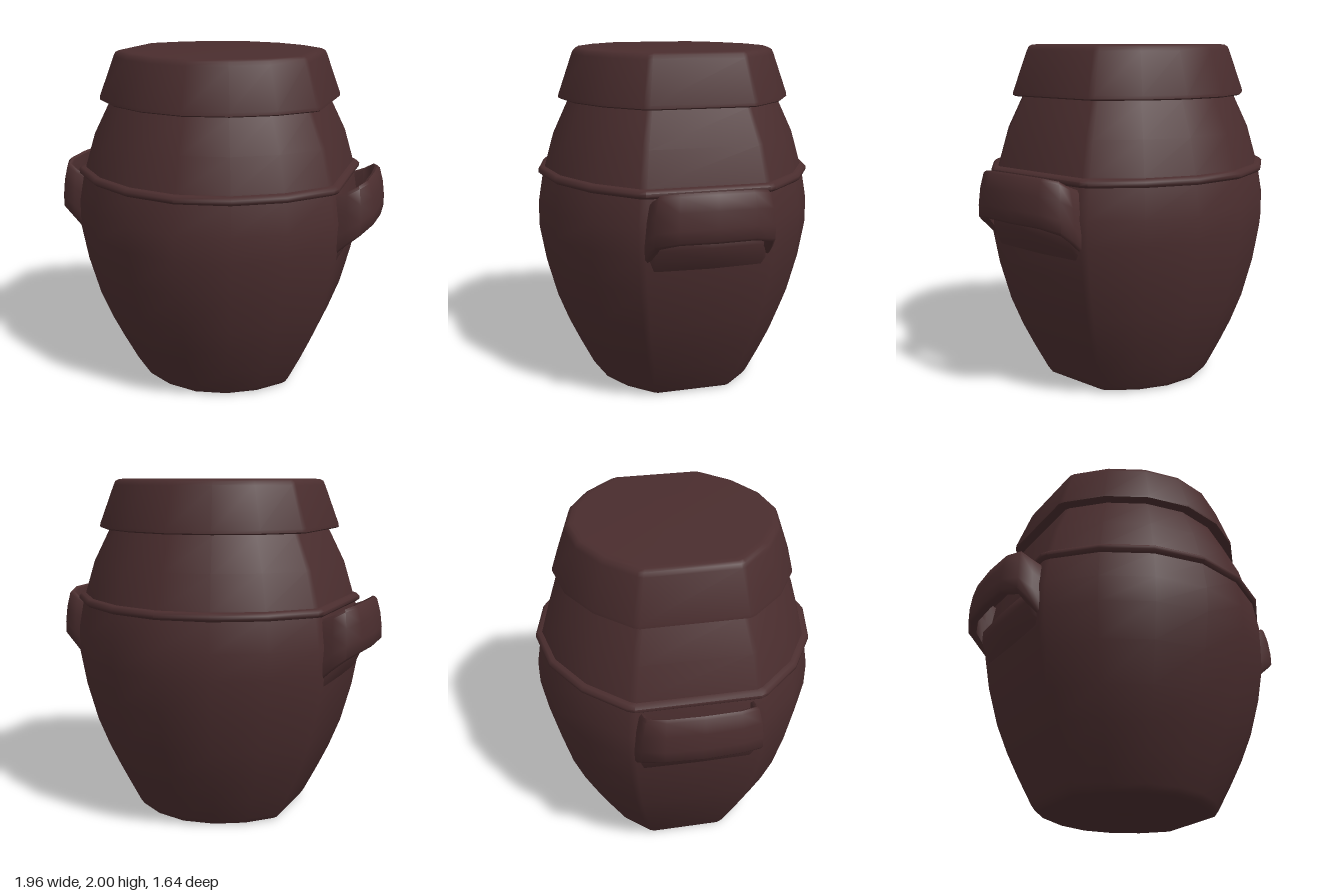
import * as THREE from 'three';
import { toCreasedNormals } from 'three/addons/utils/BufferGeometryUtils.js';

// Skin closed rings of [x, y, z] points and cap both ends
function loft(rings, crease = 0.9) {
  const n = rings[0].length, pos = rings.flat(2), idx = [];
  for (let i = 0; i < rings.length - 1; i++) {
    for (let j = 0; j < n; j++) {
      const k = (j + 1) % n;
      const a = i * n + j, b = i * n + k, c = b + n, d = a + n;
      idx.push(a, b, c, a, c, d);
    }
  }
  [0, rings.length - 1].forEach((r, end) => {
    const centre = pos.length / 3;
    for (let q = 0; q < 3; q++) pos.push(rings[r].reduce((s, p) => s + p[q], 0) / n);
    for (let j = 0; j < n; j++) {
      const a = r * n + j, b = r * n + (j + 1) % n;
      if (end) idx.push(centre, a, b); else idx.push(centre, b, a);
    }
  });
  const g = new THREE.BufferGeometry();
  g.setAttribute('position', new THREE.Float32BufferAttribute(pos, 3));
  g.setIndex(idx);
  return toCreasedNormals(g, crease);
}

// Faceted plan outline of the pot with flat sides, as [x, z] for radius 1
const quarter = [[0, 1], [0.37, 0.925], [0.695, 0.735], [0.945, 0.465], [0.968, 0.42]];
const half = [...quarter, ...quarter.slice(1).reverse().map(([x, z]) => [x, -z])];
half.push([0, -1]);
const outline = [...half, ...half.slice(1, -1).reverse().map(([x, z]) => [-x, z])];

// Profile of [radius, y] swept around the outline
const turned = (profile) =>
  loft(profile.map(([r, y]) => outline.map(([x, z]) => [x * r, y, z * r])));

export function createModel() {
  const group = new THREE.Group();
  const clay = new THREE.MeshStandardMaterial({ color: 0x4a2d2e });
  clay.name = 'darkBrownClay';
  const add = (name, geometry, parent = group) => {
    const mesh = new THREE.Mesh(geometry, clay);
    mesh.name = name;
    parent.add(mesh);
  };

  // Bulging pot body
  add('body', turned([
    [0.47, 0], [0.495, 0.01], [0.515, 0.04], [0.595, 0.2], [0.66, 0.34], [0.725, 0.51],
    [0.785, 0.74], [0.82, 0.95], [0.82, 1.1], [0.79, 1.27], [0.775, 1.32],
    [0.72, 1.51], [0.63, 1.7], [0.61, 1.74],
  ]));

  // Raised band round the shoulder
  add('band', turned([
    [0.76, 1.263], [0.8, 1.267], [0.815, 1.28], [0.815, 1.298], [0.8, 1.312], [0.76, 1.316],
  ]));

  // Overhanging lid
  add('lid', turned([
    [0.6, 1.715], [0.672, 1.71], [0.684, 1.717], [0.682, 1.735],
    [0.6, 1.965], [0.59, 1.987], [0.57, 1.998], [0.54, 2],
  ]));

  // Strap handle: section is [offset outwards, fraction of height]
  const section = [
    [-0.02, 0.03], [0.02, 0], [0.034, 0.06], [0.034, 0.3], [0.022, 0.65],
    [0.0, 0.95], [-0.015, 1], [-0.032, 0.97], [-0.032, 0.5],
  ];
  // Stations: x, z, outward angle, bottom y, top y
  const leg = [
    [0.74, 0.32, 1.5, 0.88, 1.24], [0.83, 0.315, 1.4, 0.97, 1.275],
    [0.895, 0.3, 0.95, 1.03, 1.31], [0.935, 0.2, 0.3, 1.06, 1.322],
  ];
  const path = [
    ...leg.map(([x, z, a, b, t]) => [x, -z, -a, b, t]),
    [0.945, 0, 0, 1.06, 1.325],
    ...[...leg].reverse(),
  ];
  const strap = loft(path.map(([x, z, a, b, t]) => section.map(([d, f]) =>
    [x + d * Math.cos(a), b + (t - b) * f, z + d * Math.sin(a)])), 1.1);

  // Swelling of the wall below each handle
  const swell = [[0.74, 0.82], [0.785, 0.87], [0.815, 0.93], [0.85, 1.0], [0.85, 1.06], [0.74, 1.2]];
  const root = loft([[-0.36, 0.3], [-0.3, 0.9], [0, 1], [0.3, 0.9], [0.36, 0.3]].map(([z, s]) =>
    swell.map(([x, y]) => [0.74 + (x - 0.74) * s, y, z])), 1.1);

  for (const side of ['left', 'right']) {
    const handle = new THREE.Group();
    handle.name = side + 'Handle';
    add(side + 'HandleStrap', strap, handle);
    add(side + 'HandleRoot', root, handle);
    if (side === 'right') handle.rotation.y = Math.PI;
    group.add(handle);
  }
  return group;
}
